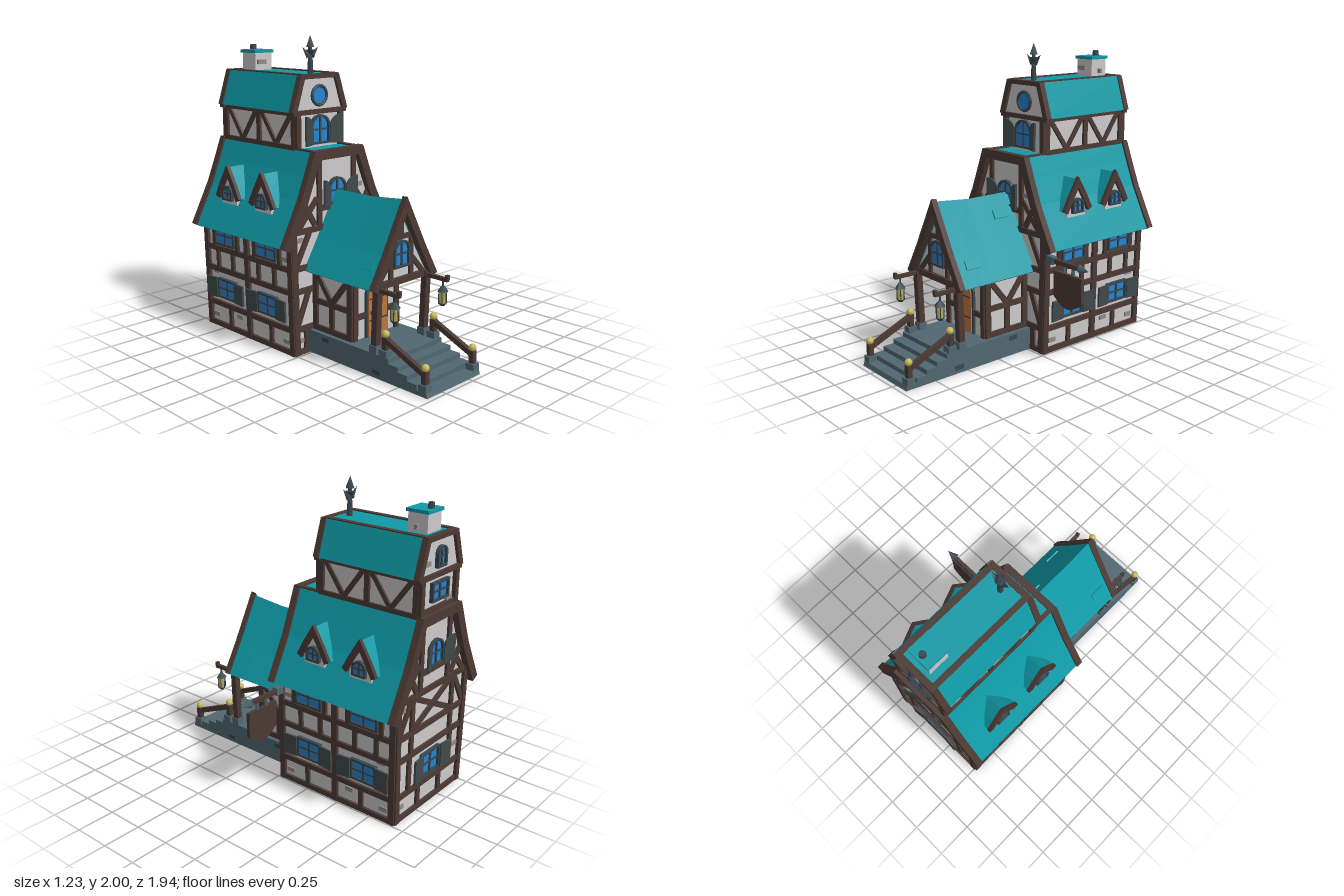
import * as THREE from 'three';

const mat = (name, color) => Object.assign(new THREE.MeshStandardMaterial({ color }), { name });
const M = {
  plaster: mat('plaster', 0xcdcacb), timber: mat('timber', 0x4c3a34), roof: mat('roof teal', 0x0f9aa6),
  stone: mat('stone', 0x506770), shutter: mat('shutter', 0x414a4b), glass: mat('glass', 0x2484d2),
  door: mat('door wood', 0xbc7640), brass: mat('brass', 0xc9bb5e), brick: mat('brick', 0x8f8b8b), iron: mat('iron', 0x37474f),
};
M.glass.side = THREE.DoubleSide;

const add = (parent, name, geo, m, x = 0, y = 0, z = 0) => {
  const mesh = new THREE.Mesh(geo, m);
  mesh.name = name;
  mesh.position.set(x, y, z);
  parent.add(mesh);
  return mesh;
};
const box = (p, name, m, w, h, d, x, y, z) => add(p, name, new THREE.BoxGeometry(w, h, d), m, x, y, z);
const cyl = (p, name, m, r1, r2, h, n, x, y, z) => add(p, name, new THREE.CylinderGeometry(r1, r2, h, n).toNonIndexed(), m, x, y, z);
const group = (p, name, x = 0, y = 0, z = 0, ry = 0, rx = 0) => {
  const g = new THREE.Group();
  g.name = name;
  g.position.set(x, y, z);
  g.rotation.set(rx, ry, 0, 'YXZ');
  p.add(g);
  return g;
};
const poly = pts => new THREE.Shape(pts.map(p => new THREE.Vector2(p[0], p[1])));
const slab = (shape, z0, z1, steps = 1) =>
  new THREE.ExtrudeGeometry(shape, { depth: z1 - z0, bevelEnabled: false, steps, curveSegments: 8 }).translate(0, 0, z0);
const flip = pts => pts.map(([x, y]) => [-x, y]);
const whole = half => [...half, ...flip(half).reverse()];

// Moves a half profile (eave to ridge) outwards by d
function offset(pts, d) {
  return pts.map((p, i) => {
    const a = pts[Math.max(0, i - 1)], b = pts[Math.min(pts.length - 1, i + 1)];
    const l = Math.hypot(b[0] - a[0], b[1] - a[1]), nx = (b[1] - a[1]) / l, ny = (a[0] - b[0]) / l;
    return p[0] === 0 ? [0, p[1] + d / ny] : [p[0] + nx * d, p[1] + ny * d];
  });
}
// Both halves of a curved roof layer or its edge boards
function layer(p, name, m, prof, out, inn, z0, z1, rule = g => g, steps = 1) {
  const half = [...offset(prof, out), ...offset(prof, -inn).reverse()];
  for (const h of [half, flip(half)]) add(p, name, rule(slab(poly(h), z0, z1, steps)), m);
}
// Timber between two points on a wall face
function beam(f, u1, v1, u2, v2, w = 0.036, d = 0.032) {
  const b = box(f, 'timber', M.timber, Math.hypot(u2 - u1, v2 - v1), w, d, (u1 + u2) / 2, (v1 + v2) / 2, 0);
  b.rotation.z = Math.atan2(v2 - v1, u2 - u1);
}
const pair = (f, u1, v1, u2, v2, w, d) => { for (const s of [1, -1]) beam(f, s * u1, v1, s * u2, v2, w, d); };

function arch(w, h, round, y = 0) {
  const s = new THREE.Shape(), ry = round ? w * 0.45 : 0;
  s.moveTo(-w / 2, y).lineTo(w / 2, y).lineTo(w / 2, y + h - ry);
  if (round) s.absellipse(0, y + h - ry, w / 2, ry, 0, Math.PI);
  else s.lineTo(-w / 2, y + h);
  return s;
}
function windowOn(f, u, v, w, h, round, shut = 0) {
  const g = group(f, 'window', u, v, 0), t = 0.014;
  const frame = arch(w, h, round);
  frame.holes.push(arch(w - 2 * t, h - 2 * t, round, t));
  add(g, 'windowFrame', slab(frame, 0, 0.024), M.iron);
  add(g, 'glass', new THREE.ShapeGeometry(arch(w - 2 * t, h - 2 * t, round, t)), M.glass, 0, 0, 0.008);
  box(g, 'mullion', M.iron, 0.012, h - t, 0.012, 0, h / 2, 0.012);
  box(g, 'crossbar', M.iron, w - t, 0.01, 0.012, 0, h * 0.5, 0.012);
  if (!shut) return;
  // Shutters opened outwards, hinged at the frame
  for (const s of [1, -1]) {
    const sh = new THREE.Shape(), low = round ? h - w * 0.42 : h;
    sh.moveTo(0, 0).lineTo(s * shut, 0).lineTo(s * shut, h);
    sh.quadraticCurveTo(s * shut * 0.2, round ? h * 0.97 : h, 0, low);
    add(g, 'shutter', slab(sh, 0, 0.014), M.shutter, s * w / 2, 0, 0.018).rotation.y = -s * (round ? 0.35 : 0.08);
  }
}
const bricks = (f, list) => list.forEach(([u, v]) => box(f, 'brick', M.brick, 0.06, 0.03, 0.016, u, v, 0));

export function createModel() {
  const root = new THREE.Group();
  root.name = 'timberHouse';
  const H = group(root, 'house', -0.138);

  // Main body and its flared roof
  const main = [[0.46, 0.72], [0.315, 1.0], [0.25, 1.16], [0.2, 1.29]];
  add(H, 'mainWalls', slab(poly(whole([[0.362, 0], [0.383, 0.8], [0.3, 0.98], [0.235, 1.15], [0.185, 1.28]])), -0.915, -0.03), M.plaster);
  layer(H, 'mainRoof', M.roof, main, 0, 0.025, -0.94, -0.01);
  for (const z of [-0.96, -0.035]) {
    layer(H, 'gableTrim', M.timber, main, 0.014, 0.045, z, z + 0.045);
    box(H, 'gableTopBeam', M.timber, 0.42, 0.06, 0.045, 0, 1.272, z + 0.0225);
  }
  box(H, 'terraceRoof', M.roof, 0.39, 0.02, 0.9, 0, 1.28, -0.48);
  for (const s of [1, -1]) box(H, 'terraceBeam', M.timber, 0.03, 0.03, 0.9, s * 0.185, 1.285, -0.48);

  // Front and back wall timbers
  for (const [z, ry] of [[-0.03, 0], [-0.915, Math.PI]]) {
    const f = group(H, ry ? 'backWall' : 'frontWall', 0, 0, z, ry);
    pair(f, 0.35, 0, 0.372, 0.82, 0.042, 0.04);
    for (const v of [0.018, 0.17, 0.42, 0.57]) beam(f, -0.36, v, 0.36, v);
    beam(f, -0.37, 0.805, 0.37, 0.805);
    pair(f, 0.15, 0.82, 0.15, 1.26);
    pair(f, 0.35, 0.59, 0.24, 0.79);
    pair(f, 0.33, 0.82, 0.17, 1.0);
    pair(f, 0.19, 0.83, 0.28, 0.98);
    beam(f, -0.15, 0.93, 0.15, 0.93);
    windowOn(f, 0, 0.945, 0.15, 0.17, true, 0.08);
    bricks(f, [[-0.32, 0.75], [0.3, 0.29], [0.2, 1.04], [-0.3, 0.09]]);
    if (ry) {
      windowOn(f, 0, 0.21, 0.2, 0.16, false, 0.1);
      beam(f, -0.2, 0.59, 0.2, 0.79);
      beam(f, -0.2, 0.79, 0.2, 0.59);
      pair(f, 0.22, 0.42, 0.22, 0.79);
      pair(f, 0.23, 0.17, 0.23, 0.42);
      pair(f, 0.12, 0.02, 0.12, 0.17);
    } else {
      pair(f, 0.345, 0.19, 0.25, 0.41);
      pair(f, 0.27, 0.02, 0.27, 0.17);
    }
  }

  // Side walls, dormers
  for (const s of [1, -1]) {
    const f = group(H, 'sideWall', s * 0.364, 0, 0, s * Math.PI / 2, 0.026), u = z => -s * z;
    for (const z of [-0.035, -0.47, -0.905]) beam(f, u(z), 0, u(z), 0.76, 0.042, 0.036);
    for (const v of [0.018, 0.17, 0.42, 0.57]) beam(f, u(-0.03), v, u(-0.915), v);
    for (const z of [-0.265, -0.695]) {
      windowOn(f, u(z), 0.22, 0.19, 0.14, false, 0.1);
      windowOn(f, u(z), 0.6, 0.21, 0.14, false);
      for (const e of [-0.125, 0.125]) beam(f, u(z + e), 0.58, u(z + e), 0.74, 0.028);
      for (const e of [-0.09, 0.07]) beam(f, u(z + e), 0.42, u(z + e), 0.57, 0.03);
      beam(f, u(z + 0.02), 0.02, u(z + 0.02), 0.17, 0.03);
    }
    bricks(f, [[u(-0.1), 0.08], [u(-0.58), 0.12], [u(-0.82), 0.4], [u(-0.09), 0.63], [u(-0.84), 0.08]]);

    for (const z of [-0.3, -0.65]) {
      const d = group(H, 'dormer', 0, 0, z, s * Math.PI / 2);
      const prof = [[0.118, 0.94], [0.07, 1.03], [0, 1.145]];
      add(d, 'dormerWall', slab(poly(whole([[0.08, 0.895], [0.08, 0.98], [0.05, 1.03], [0, 1.11]])), 0.2, 0.38), M.plaster);
      layer(d, 'dormerRoof', M.roof, prof, 0, 0.018, 0.22, 0.385);
      layer(d, 'dormerTrim', M.timber, prof, 0.008, 0.03, 0.375, 0.4);
      windowOn(group(d, 'dormerFront', 0, 0, 0.38), 0, 0.92, 0.1, 0.1, true);
    }
  }

  // Upper storey with mansard roof
  const U = group(H, 'upperStorey');
  box(U, 'upperWalls', M.plaster, 0.38, 0.26, 0.72, 0, 1.4, -0.55);
  const top = [[0.23, 1.525], [0.155, 1.755]];
  add(U, 'upperRoof', slab(poly(whole(top)), -0.9, -0.2), M.roof);
  add(U, 'upperGable', slab(poly(whole([[0.2, 1.525], [0.14, 1.74]])), -0.915, -0.185), M.plaster);
  for (const [z, ry] of [[-0.185, 0], [-0.915, Math.PI]]) {
    layer(U, 'mansardTrim', M.timber, top, 0.008, 0.03, z - 0.02, z + 0.02);
    const f = group(U, ry ? 'upperBack' : 'upperFront', 0, 0, z, ry);
    beam(f, -0.155, 1.745, 0.155, 1.745, 0.03, 0.04);
    beam(f, -0.225, 1.52, 0.225, 1.52, 0.03, 0.04);
    pair(f, 0.185, 1.29, 0.185, 1.52, 0.036, 0.04);
    if (ry) {
      beam(f, -0.18, 1.31, 0.18, 1.31);
      windowOn(f, 0, 1.36, 0.18, 0.12, false);
      windowOn(f, 0, 1.56, 0.1, 0.13, true);
      bricks(f, [[-0.13, 1.6], [0.12, 1.34]]);
    } else {
      windowOn(f, 0, 1.31, 0.16, 0.19, true, 0.085);
      add(f, 'roundWindowFrame', new THREE.TorusGeometry(0.062, 0.011, 6, 16), M.iron, 0, 1.622, 0.008);
      add(f, 'roundGlass', new THREE.CircleGeometry(0.062, 16), M.glass, 0, 1.622, 0.008);
    }
  }
  for (const s of [1, -1]) {
    const f = group(U, 'upperSide', s * 0.19, 0, 0, s * Math.PI / 2), u = z => -s * z;
    for (const z of [-0.205, -0.55, -0.895]) beam(f, u(z), 1.29, u(z), 1.52);
    for (const v of [1.3, 1.515]) beam(f, u(-0.19), v, u(-0.91), v, 0.03);
    for (const z of [-0.378, -0.722]) for (const e of [-0.145, 0.145]) beam(f, u(z), 1.31, u(z + e), 1.51, 0.03, 0.028);
    box(U, 'ridgeBeam', M.timber, 0.036, 0.03, 0.72, s * 0.135, 1.747, -0.55);
  }

  // Chimney and finial
  box(H, 'chimney', M.plaster, 0.14, 0.13, 0.135, 0, 1.81, -0.8);
  for (const [x, y, z] of [[-0.02, 1.81, -0.73], [0.06, 1.79, -0.8]]) box(H, 'brick', M.brick, 0.07, 0.03, 0.02, x, y, z);
  box(H, 'chimneyCap', M.roof, 0.16, 0.02, 0.155, 0, 1.88, -0.8);
  cyl(H, 'chimneyPot', M.iron, 0.02, 0.024, 0.04, 6, 0, 1.905, -0.84);
  const fin = group(H, 'finial', 0, 1.755, -0.26);
  cyl(fin, 'finialPole', M.iron, 0.012, 0.02, 0.18, 6, 0, 0.09, 0);
  cyl(fin, 'finialTip', M.iron, 0, 0.034, 0.075, 4, 0, 0.2075, 0);
  cyl(fin, 'finialCollar', M.iron, 0.03, 0.01, 0.04, 6, 0, 0.13, 0);
  for (const s of [1, -1]) {
    const barb = cyl(fin, 'finialBarb', M.iron, 0, 0.022, 0.08, 4, s * 0.042, 0.142, 0);
    barb.rotation.z = -s * 0.75;
  }

  // Stone base and steps
  const P = group(H, 'porch');
  const steps = poly([[-0.03, 0], [0.97, 0], [0.96, 0.03], [0.89, 0.03], [0.89, 0.06], [0.815, 0.06], [0.815, 0.09],
    [0.74, 0.09], [0.74, 0.12], [0.665, 0.12], [0.665, 0.15], [-0.03, 0.15]]);
  add(P, 'stoneSteps', slab(steps, -0.245, 0.245), M.stone).rotation.y = -Math.PI / 2;
  for (const s of [1, -1]) for (const [y, z] of [[0.04, 0.57], [0.12, 0.13]]) box(P, 'baseBlock', M.iron, 0.01, 0.03, 0.06, s * 0.245, y, z);

  // Porch room and door
  box(P, 'porchRoom', M.plaster, 0.4, 0.42, 0.35, 0, 0.35, 0.15);
  for (const s of [1, -1]) {
    const f = group(P, 'porchSide', s * 0.2, 0, 0, s * Math.PI / 2), u = z => -s * z;
    for (const z of [0.31, 0.0]) beam(f, u(z), 0.15, u(z), 0.56, 0.042);
    for (const v of [0.168, 0.345, 0.54]) beam(f, u(0.32), v, u(-0.02), v);
    for (const z of [0.29, 0.01]) beam(f, u(z), 0.53, u(0.15), 0.355);
    beam(f, u(0.15), 0.17, u(0.15), 0.345);
  }
  const df = group(P, 'doorWall', 0, 0, 0.325);
  pair(df, 0.185, 0.15, 0.185, 0.56);
  pair(df, 0.18, 0.3, 0.1, 0.3);
  add(df, 'doorFrame', slab(arch(0.195, 0.36, true, 0.15), 0, 0.018), M.iron);
  add(df, 'door', slab(arch(0.165, 0.335, true, 0.155), 0, 0.026), M.door);
  for (const v of [0.26, 0.4]) box(df, 'doorStrap', M.timber, 0.16, 0.008, 0.008, 0, v, 0.026);
  cyl(df, 'doorHandle', M.iron, 0.02, 0.02, 0.02, 6, -0.05, 0.31, 0.032).rotation.x = Math.PI / 2;

  // Porch roof, its ridge rising towards the front
  const pr = [[0.28, 0.55], [0.165, 0.74], [0.075, 0.9], [0, 1.035]];
  const lift = g => {
    const a = g.attributes.position;
    for (let i = 0; i < a.count; i++) {
      const k = THREE.MathUtils.clamp((a.getZ(i) - 0.3) / 0.28, 0, 1) * Math.max(0, (a.getY(i) - 0.55) / 0.48);
      a.setY(i, a.getY(i) + 0.025 * k);
    }
    g.computeVertexNormals();
    return g;
  };
  add(P, 'porchGable', slab(poly(whole(offset(pr, -0.03))), -0.03, 0.53), M.plaster);
  layer(P, 'porchRoof', M.roof, pr, 0, 0.025, -0.03, 0.56, lift, 9);
  layer(P, 'porchTrim', M.timber, pr, 0.008, 0.04, 0.545, 0.585, lift);
  for (const [s, x, y, z] of [[1, 0.21, 0.675, 0.43], [1, 0.07, 0.917, 0.09], [-1, 0.21, 0.675, 0.46]])
    box(P, 'roofTile', M.roof, 0.06, 0.012, 0.11, s * x, y, z).rotation.z = -s * 1.04;
  const pg = group(P, 'porchFront', 0, 0, 0.53);
  beam(pg, -0.25, 0.555, 0.25, 0.555, 0.04, 0.05);
  beam(pg, -0.11, 0.825, 0.11, 0.825, 0.03);
  pair(pg, 0.09, 0.57, 0.09, 0.83, 0.03);
  pair(pg, 0.2, 0.57, 0.1, 0.68, 0.03);
  beam(pg, 0, 0.83, 0, 0.98, 0.03);
  windowOn(pg, 0, 0.635, 0.14, 0.17, true);

  // Posts, handrails and lanterns
  for (const s of [1, -1]) {
    const g = group(P, 'porchSideFittings', s * 0.218);
    box(g, 'roofBeam', M.timber, 0.04, 0.04, 0.58, 0, 0.555, 0.27);
    const post = box(g, 'porchPost', M.timber, 0.042, 0.4, 0.042, 0, 0.35, 0.545);
    post.rotation.x = 0.04;
    box(g, 'postFoot', M.stone, 0.056, 0.05, 0.056, 0, 0.172, 0.54);
    for (const [y, z] of [[0.03, 0.93], [0.15, 0.62]]) {
      box(g, 'railFoot', M.stone, 0.055, 0.04, 0.06, 0, y + 0.02, z);
      box(g, 'railPost', M.timber, 0.034, 0.1, 0.034, 0, y + 0.07, z);
      add(g, 'railKnob', new THREE.IcosahedronGeometry(0.025, 1), M.brass, 0, y + 0.137, z);
    }
    box(g, 'handrail', M.timber, 0.03, 0.034, 0.345, 0, 0.19, 0.775).rotation.x = Math.atan2(0.13, 0.31);
    box(g, 'lanternArm', M.timber, 0.024, 0.024, 0.18, 0, 0.545, 0.64);
    box(g, 'lanternArmTip', M.timber, 0.024, 0.03, 0.02, 0, 0.56, 0.725);
    cyl(g, 'lanternHook', M.iron, 0.006, 0.006, 0.05, 5, 0, 0.52, 0.69);
    cyl(g, 'lanternCap', M.iron, 0.01, 0.036, 0.035, 6, 0, 0.483, 0.69);
    cyl(g, 'lanternLight', M.brass, 0.028, 0.02, 0.075, 6, 0, 0.427, 0.69);
    cyl(g, 'lanternBase', M.iron, 0.024, 0.015, 0.016, 6, 0, 0.382, 0.69);
    for (let i = 0; i < 6; i++) {
      const a = i * Math.PI / 3;
      cyl(g, 'lanternBar', M.iron, 0.004, 0.004, 0.08, 4, Math.sin(a) * 0.026, 0.427, 0.69 + Math.cos(a) * 0.026);
    }
  }

  // Hanging sign board
  const S = group(H, 'hangingSign', 0.138, 0, -0.04);
  box(S, 'signPole', M.timber, 0.3, 0.028, 0.026, 0.4, 0.66, 0);
  box(S, 'signBracket', M.stone, 0.06, 0.05, 0.04, 0.29, 0.66, 0);
  cyl(S, 'signArrow', M.stone, 0, 0.032, 0.075, 4, 0.582, 0.66, 0).rotation.z = -Math.PI / 2;
  for (const x of [0.405, 0.485]) cyl(S, 'signHanger', M.stone, 0.012, 0.012, 0.055, 6, x, 0.625, 0);
  const board = new THREE.Shape();
  board.moveTo(-0.125, 0).lineTo(-0.125, -0.165).quadraticCurveTo(-0.06, -0.225, 0, -0.23);
  board.quadraticCurveTo(0.06, -0.225, 0.125, -0.165).lineTo(0.125, 0);
  add(S, 'signBoard', slab(board, -0.012, 0.012), M.timber, 0.445, 0.6, 0);
  return root;
}
